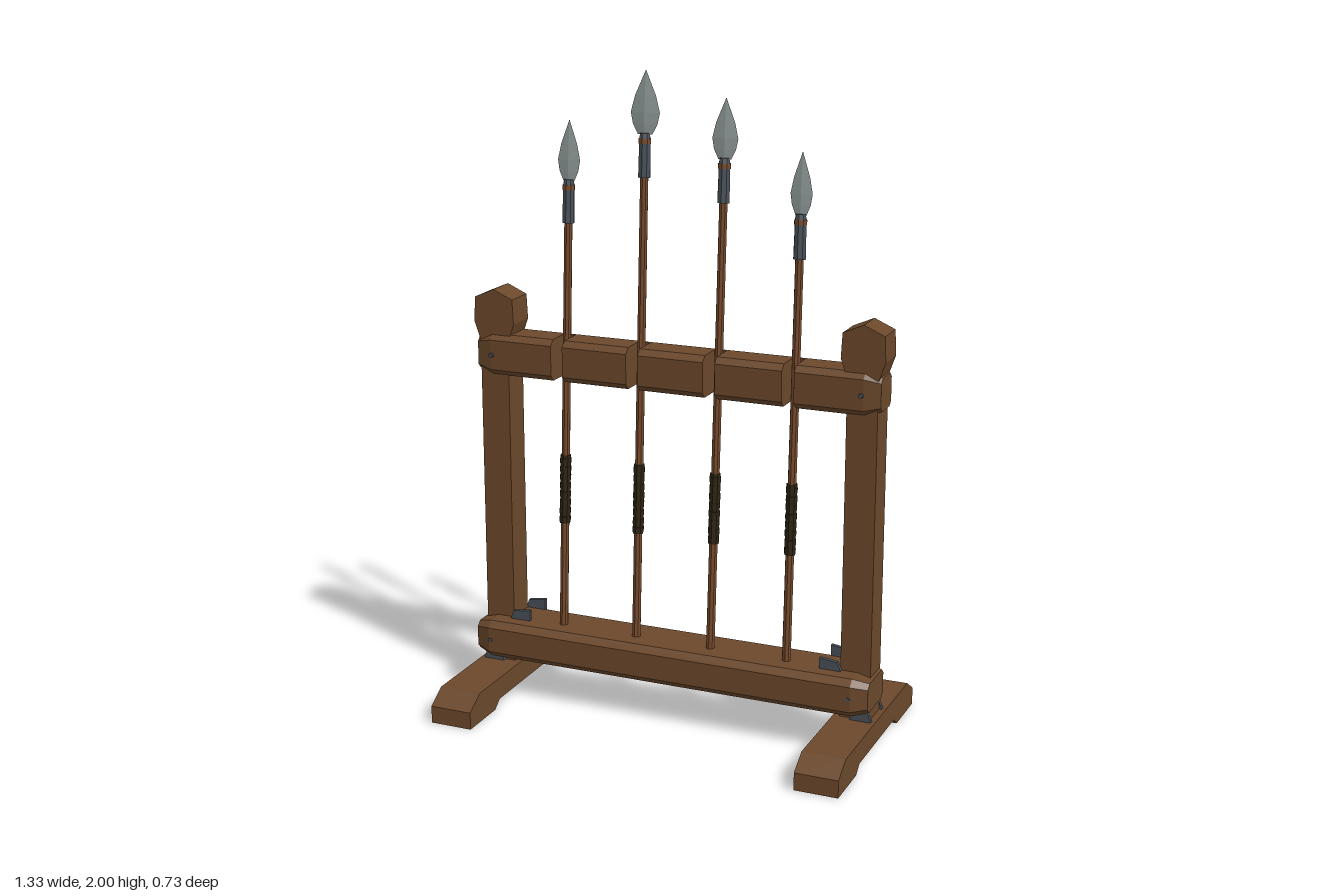
import * as THREE from 'three';

const mat = (name, color) => Object.assign(new THREE.MeshStandardMaterial({ color }), { name });
const wood = mat('wood', 0x6b482b);
const shaftWood = mat('shaft wood', 0x75492b);
const iron = mat('dark iron', 0x484f57);
const steel = mat('blade steel', 0x8d9896);
const leather = mat('grip leather', 0x2c2412);

// Faceted mesh
function part(name, geo, material, parent) {
  const g = geo.index ? geo.toNonIndexed() : geo;
  g.computeVertexNormals();
  const m = new THREE.Mesh(g, material);
  m.name = name;
  parent.add(m);
  return m;
}

// Outline extruded along z, from z0 to z1
function plate(points, z0, z1) {
  const shape = new THREE.Shape(points.map(([x, y]) => new THREE.Vector2(x, y)));
  const g = new THREE.ExtrudeGeometry(shape, { depth: z1 - z0, bevelEnabled: false });
  return g.translate(0, 0, z0);
}

// Bar along x: a convex [z, y] section, scaled about a centre at each [x, scale] station
function bar(section, [cz, cy], stations) {
  const n = section.length, pos = [], idx = [];
  for (const [x, s] of stations)
    for (const [z, y] of section) pos.push(x, cy + (y - cy) * s, cz + (z - cz) * s);
  for (let k = 0; k < stations.length - 1; k++)
    for (let i = 0; i < n; i++) {
      const a = k * n + i, b = k * n + (i + 1) % n;
      idx.push(a, a + n, b, b, a + n, b + n);
    }
  const last = (stations.length - 1) * n;
  for (let i = 1; i < n - 1; i++) {
    idx.push(0, i, i + 1);
    idx.push(last, last + i + 1, last + i);
  }
  const g = new THREE.BufferGeometry();
  g.setAttribute('position', new THREE.Float32BufferAttribute(pos, 3));
  g.setIndex(idx);
  return g;
}

// Rectangle section with chamfers on the back (b) and front (f) corners,
// ordered so that the sides of the bar face outward
function section(z0, z1, y0, y1, b, f) {
  const back = b ? [[z0 + b, y1], [z0, y1 - b], [z0, y0 + b], [z0 + b, y0]] : [[z0, y1], [z0, y0]];
  const front = f ? [[z1 - f, y0], [z1, y0 + f], [z1, y1 - f], [z1 - f, y1]] : [[z1, y0], [z1, y1]];
  return [...back, ...front];
}

const SPEARS = [ // x, blade base height, blade length, blade half width, lean
  [-0.378, 1.655, 0.185, 0.037, 0.056],
  [-0.126, 1.81, 0.19, 0.047, 0.052],
  [0.124, 1.75, 0.18, 0.041, 0.062],
  [0.374, 1.605, 0.185, 0.034, 0.048],
];

function spear([x, base, len, half, lean]) {
  const g = new THREE.Group();
  g.name = 'spear';
  const y0 = 0.2;
  const rod = (name, r0, r1, a, b, material) =>
    part(name, new THREE.CylinderGeometry(r1, r0, b - a, 8).translate(0, (a + b) / 2 - y0, 0), material, g);
  rod('shaft', 0.014, 0.013, y0, base - 0.01, shaftWood);
  rod('grip', 0.017, 0.017, 0.58, 0.8, leather);
  for (let i = 0; i < 8; i++)
    rod('gripWrap', 0.0185, 0.0185, 0.585 + i * 0.027, 0.601 + i * 0.027, leather);
  rod('socket', 0.0195, 0.018, base - 0.128, base - 0.025, iron);
  rod('binding', 0.02, 0.02, base - 0.027, base - 0.012, shaftWood);
  rod('collar', 0.018, 0.015, base - 0.012, base + 0.004, iron);
  // Leaf blade with a flat diamond section
  const leaf = [[0, 0], [0.5, 0], [0.85, 0.16], [1, 0.34], [0.72, 0.6], [0, 1]]
    .map(([r, h]) => new THREE.Vector2(r * half, h * len));
  part('blade', new THREE.LatheGeometry(leaf, 4).scale(1, 1, 0.17).translate(0, base - y0, 0), steel, g);
  g.position.set(x, y0, 0.012);
  g.rotation.x = -Math.atan(lean);
  return g;
}

export function createModel() {
  const root = new THREE.Group();
  root.name = 'spearRack';

  for (const s of [-1, 1]) {
    const side = new THREE.Group();
    side.name = s > 0 ? 'leftSide' : 'rightSide';
    root.add(side);

    // Foot with sloped ends and an arch underneath
    const foot = plate([[-0.363, 0], [-0.2, 0], [-0.17, 0.025], [0.17, 0.025], [0.2, 0], [0.363, 0],
      [0.363, 0.055], [0.3, 0.095], [-0.3, 0.095], [-0.363, 0.055]], -0.068, 0.068);
    part('foot', foot.rotateY(Math.PI / 2).translate(s * 0.598, 0, 0), wood, side);

    // Post and its faceted cap
    part('post', new THREE.BoxGeometry(0.095, 1.1, 0.095).translate(s * 0.598, 0.635, -0.028), wood, side);
    part('postCap', plate([[-0.047, 1.15], [0.047, 1.15], [0.068, 1.21], [0.064, 1.287],
      [0, 1.315], [-0.064, 1.287], [-0.068, 1.21]], -0.0775, 0.0205).translate(s * 0.598, 0, 0), wood, side);

    // Iron plates on both faces of the post, above and below the lower rail
    for (const z of [0.02, -0.089]) {
      const inner = [[-0.56, 0.235], [-0.488, 0.235], [-0.487, 0.28], [-0.545, 0.272]];
      const lower = [[-0.655, 0.093], [-0.585, 0.093], [-0.592, 0.135], [-0.64, 0.135]];
      for (const [name, pts] of [['upperBracket', inner], ['lowerBracket', lower]])
        part(name, plate(pts.map(([x, y]) => [-s * x, y]), z, z + 0.013), iron, side);
    }

    // Pegs through the rails
    for (const [y, z0, z1] of [[1.11, -0.103, 0.046], [0.185, -0.104, 0.096]])
      part('peg', new THREE.CylinderGeometry(0.007, 0.007, z1 - z0, 8).rotateX(Math.PI / 2)
        .translate(s * 0.6, y, (z0 + z1) / 2), iron, side);
  }

  // Lower rail with chamfered edges and tapered ends
  const taper = [[-0.655, 0.78], [-0.605, 1], [0.605, 1], [0.655, 0.78]];
  part('lowerRail', bar(section(-0.1, 0.093, 0.125, 0.245, 0.02, 0.02), [-0.003, 0.185], taper), wood, root);

  // Upper rail: a back beam, with front blocks leaving a notch for each spear
  const centre = [-0.028, 1.11], notch = 0.019;
  part('upperRail', bar(section(-0.09, -0.06, 1.045, 1.175, 0.018, 0), centre, taper), wood, root);
  const front = section(-0.06, 0.035, 1.045, 1.175, 0, 0.018);
  for (let i = 0; i <= SPEARS.length; i++) {
    const a = i ? [[SPEARS[i - 1][0] + notch, 1]] : taper.slice(0, 2);
    const b = i < SPEARS.length ? [[SPEARS[i][0] - notch, 1]] : taper.slice(2);
    part('upperRailBlock', bar(front, centre, [...a, ...b]), wood, root);
  }

  for (const s of SPEARS) root.add(spear(s));
  return root;
}
